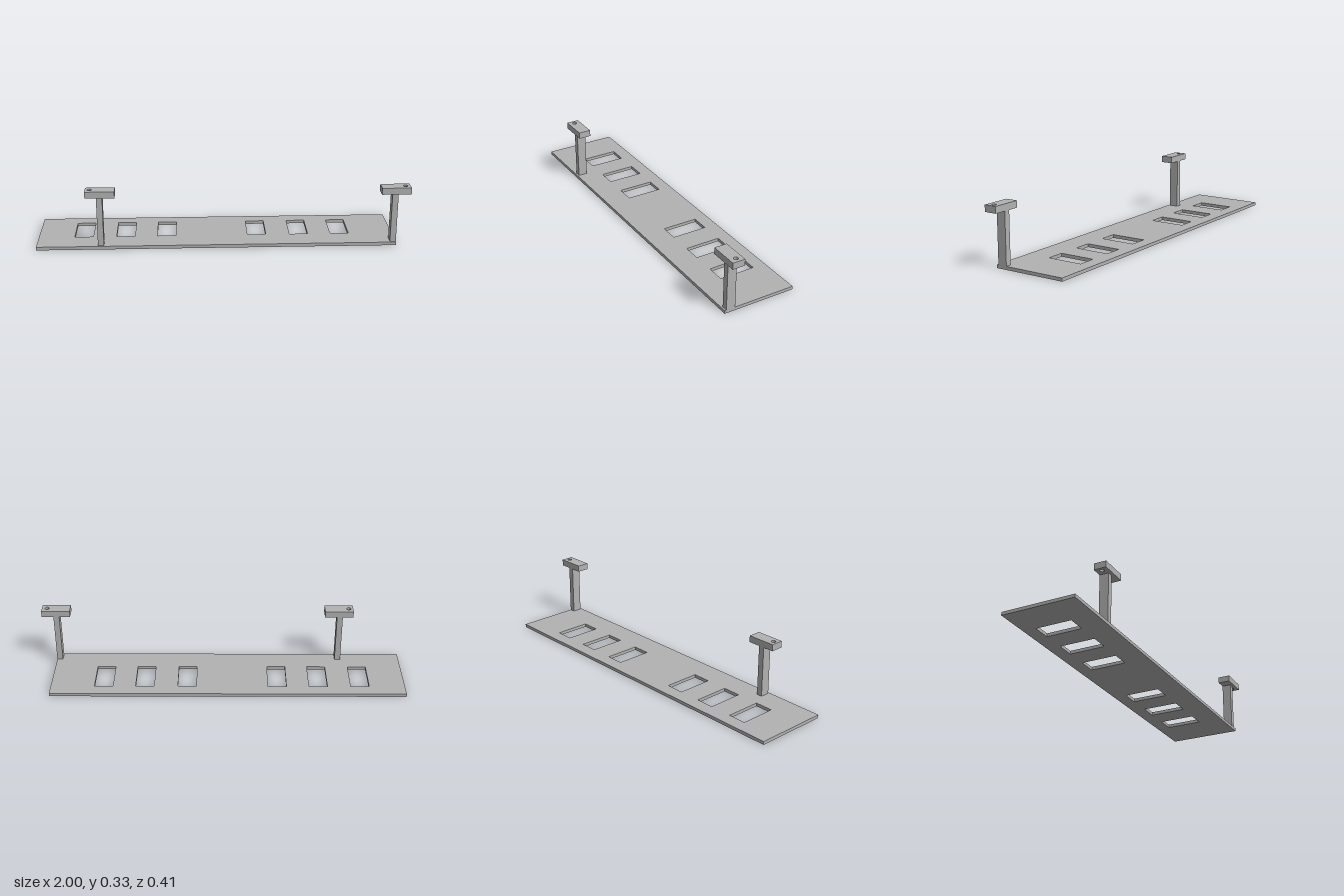
import * as THREE from 'three';

// Horizontal slab from x/z bounds, with holes, between heights y0 and y1
function slab(x0, x1, z0, z1, y0, y1, holes) {
  const shape = rect(new THREE.Shape(), x0, x1, z0, z1);
  shape.holes.push(...holes);
  const geo = new THREE.ExtrudeGeometry(shape, { depth: y1 - y0, bevelEnabled: false, curveSegments: 24 });
  geo.rotateX(Math.PI / 2); // shape y becomes z, depth runs downward
  geo.translate(0, y1, 0);
  return geo;
}

function rect(path, x0, x1, z0, z1) {
  path.moveTo(x0, z0);
  path.lineTo(x1, z0);
  path.lineTo(x1, z1);
  path.lineTo(x0, z1);
  path.closePath();
  return path;
}

export function createModel() {
  const model = new THREE.Group();
  model.name = 'slottedShelfBracket';
  const grey = new THREE.MeshStandardMaterial({ color: 0xb2b2b2 });
  grey.name = 'grey';

  const add = (name, geo, parent) => {
    const mesh = new THREE.Mesh(geo, grey);
    mesh.name = name;
    parent.add(mesh);
    return mesh;
  };

  // Base plate with two rows of three rectangular windows
  const windows = [-0.805, -0.577, -0.353, 0.139, 0.37, 0.595].map(
    (x) => rect(new THREE.Path(), x, x + 0.101, -0.135, 0.063));
  add('basePlate', slab(-1, 0.935, -0.207, 0.198, 0, 0.018, windows), model);

  // Two posts, each carrying a drilled mounting cap
  const posts = [
    { name: 'rightSupport', x: -0.654, capX: -0.65, holeX: -0.704 },
    { name: 'leftSupport', x: 0.919, capX: 0.9215, holeX: 0.972 },
  ];
  for (const { name, x, capX, holeX } of posts) {
    const support = new THREE.Group();
    support.name = name;
    model.add(support);

    const post = add('post', new THREE.BoxGeometry(0.032, 0.277, 0.051), support);
    post.position.set(x, 0.1565, 0.1635);

    const screwHole = new THREE.Path().absarc(holeX, 0.172, 0.012, 0, Math.PI * 2);
    add('cap', slab(capX - 0.0785, capX + 0.0785, 0.138, 0.207, 0.295, 0.331, [screwHole]), support);
  }
  return model;
}
